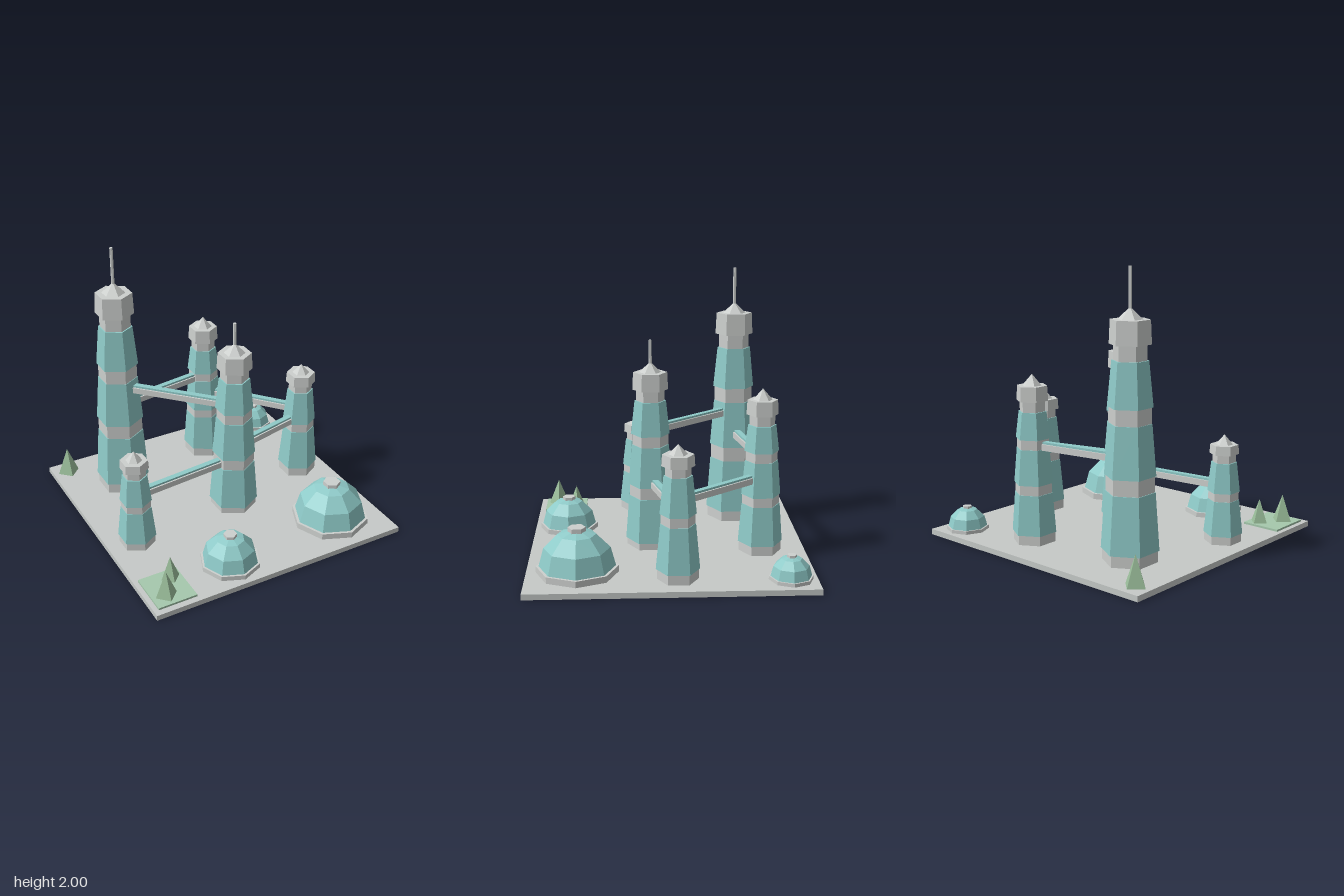
import * as THREE from 'three';

const mat = (name, color) => {
  const m = new THREE.MeshStandardMaterial({ color, flatShading: true });
  m.name = name;
  return m;
};

export function createModel() {
  const city = new THREE.Group();
  city.name = 'futureCity';

  const ground = mat('pale grey ground', 0xc6cac8);
  const trim = mat('light grey trim', 0xcdd0ce);
  const glass = mat('teal glass', 0x8fcbc9);
  const lawn = mat('pale green lawn', 0xa6c9ad);
  const leaf = mat('tree green', 0x9cc09c);

  const add = (parent, name, geometry, material, x = 0, y = 0, z = 0) => {
    const mesh = new THREE.Mesh(geometry, material);
    mesh.name = name;
    mesh.position.set(x, y, z);
    parent.add(mesh);
    return mesh;
  };
  // Prism standing between two heights, with its own radius at each end
  const prism = (parent, name, material, y0, y1, r0, r1, sides = 6) =>
    add(parent, name, new THREE.CylinderGeometry(r1, r0, y1 - y0, sides), material, 0, (y0 + y1) / 2, 0);

  const groupAt = (name, x, z) => {
    const g = new THREE.Group();
    g.name = name;
    g.position.set(x, 0, z);
    city.add(g);
    return g;
  };

  // Ground slab
  add(city, 'groundSlab', new THREE.BoxGeometry(1.98, 0.04, 1.98), ground, 0, 0.02, 0);

  // Towers: bands lists the bottom and top of each glass storey block
  const shape3 = { lower: [1, 0.88, 0.775], upper: [0.86, 0.74, 0.625], neck: 0.57, crown: 0.71 };
  const shape2 = { lower: [1, 0.83], upper: [0.8, 0.65], neck: 0.59, crown: 0.75 };
  const towers = {
    tallTower: { x: -0.54, z: -0.54, r: 0.2, bands: [[0.12, 0.52], [0.63, 0.98], [1.09, 1.395]], crown: [1.5, 1.66], tip: 1.74, mast: 2 },
    centreTower: { x: 0.08, z: 0.12, r: 0.18, bands: [[0.09, 0.415], [0.5, 0.795], [0.875, 1.12]], crown: [1.2, 1.325], tip: 1.4, mast: 1.555 },
    backTower: { x: 0.245, z: -0.665, r: 0.16, bands: [[0.11, 0.395], [0.465, 0.715], [0.785, 0.975]], crown: [1.05, 1.155], tip: 1.235 },
    leftTower: { x: 0.76, z: -0.045, r: 0.15, bands: [[0.11, 0.43], [0.5, 0.765]], crown: [0.83, 0.91], tip: 0.98 },
    rightTower: { x: -0.765, z: 0.205, r: 0.138, bands: [[0.1, 0.345], [0.405, 0.615]], crown: [0.675, 0.74], tip: 0.81 },
  };

  for (const [name, t] of Object.entries(towers)) {
    const g = groupAt(name, t.x, t.z);
    const s = t.bands.length === 3 ? shape3 : shape2;
    prism(g, 'plinth', trim, 0.04, t.bands[0][0], t.r * 0.95, t.r * 0.95);
    t.bands.forEach(([y0, y1], i) => {
      prism(g, 'glassStorey', glass, y0, y1, t.r * s.lower[i], t.r * s.upper[i]);
      const next = t.bands[i + 1];
      if (next) {
        const ringR = t.r * s.upper[i] * 0.97;
        prism(g, 'ringBand', trim, y1, next[0], ringR, ringR);
      } else {
        prism(g, 'neck', trim, y1, t.crown[0], t.r * s.neck, t.r * s.neck);
      }
    });
    prism(g, 'crown', trim, t.crown[0], t.crown[1], t.r * s.crown, t.r * s.crown * 0.95);
    prism(g, 'roofCone', trim, t.crown[1], t.tip, t.r * 0.43, 0);
    if (t.mast) prism(g, 'mast', trim, t.crown[1], t.mast, 0.012, 0.012);
  }

  // Skybridges run between tower centres, with a glass deck on top
  const bridges = [
    ['tallTower', 'centreTower', 0.875],
    ['tallTower', 'backTower', 0.71],
    ['centreTower', 'rightTower', 0.42],
    ['centreTower', 'leftTower', 0.505],
    ['backTower', 'leftTower', 0.565],
  ];
  for (const [from, to, y] of bridges) {
    const a = towers[from], b = towers[to];
    const dx = b.x - a.x, dz = b.z - a.z, length = Math.hypot(dx, dz);
    const g = groupAt('skybridge', (a.x + b.x) / 2, (a.z + b.z) / 2);
    g.rotation.y = Math.atan2(dx, dz);
    add(g, 'bridgeBeam', new THREE.BoxGeometry(0.065, 0.044, length), trim, 0, y + 0.022, 0);
    add(g, 'bridgeDeck', new THREE.BoxGeometry(0.042, 0.015, length), glass, 0, y + 0.0515, 0);
  }

  // Glass domes on octagonal footings
  const domes = [
    [-0.295, 0.735, 0.217, 0.075],
    [0.615, 0.637, 0.285, 0.085],
    [0.8, -0.807, 0.152, 0.065],
  ];
  for (const [x, z, r, footTop] of domes) {
    const g = groupAt('dome', x, z);
    const shell = r * 0.93, top = footTop + shell;
    prism(g, 'domeFooting', trim, 0.04, footTop, r, r, 8);
    add(g, 'domeShell', new THREE.SphereGeometry(shell, 8, 3, 0, Math.PI * 2, 0, Math.PI / 2), glass, 0, footTop, 0);
    prism(g, 'domeCap', trim, top - r * 0.07, top + r * 0.05, r * 0.22, r * 0.22);
  }

  // Park lawn and trees
  add(city, 'lawn', new THREE.BoxGeometry(0.29, 0.015, 0.327), lawn, -0.81, 0.0475, 0.781);
  const trees = [
    [-0.85, 0.845, 0.078, 0.055, 0.25],
    [-0.745, 0.697, 0.068, 0.055, 0.23],
    [-0.87, -0.87, 0.083, 0.04, 0.25],
  ];
  for (const [x, z, r, y0, y1] of trees) {
    prism(groupAt('tree', x, z), 'treeCone', leaf, y0, y1, r, 0, 4);
  }

  return city;
}
